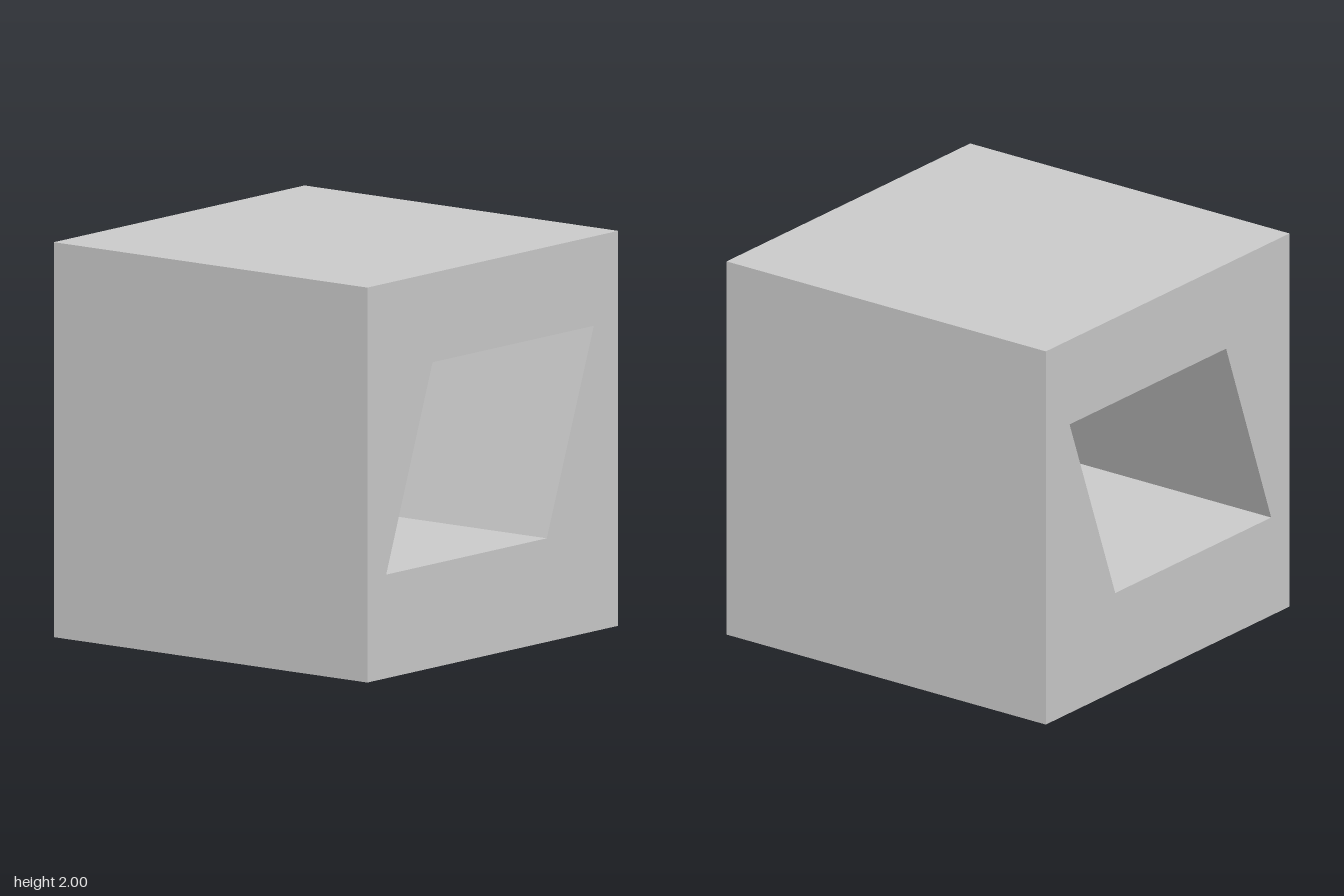
import * as THREE from 'three';

// Closed outline from a few corner points
const corners = (points) => points.map(([x, y]) => new THREE.Vector2(x, y));

export function createModel() {
  const group = new THREE.Group();
  group.name = 'piercedCube';

  // Square face with a slanted parallelogram window
  const face = new THREE.Shape(corners([[-1, 0], [1, 0], [1, 2], [-1, 2]]));
  face.holes.push(new THREE.Path(corners([
    [-0.85, 0.525], [-0.48, 1.547], [0.805, 1.547], [0.43, 0.525],
  ])));

  // Cube body, with the window running straight through from front to back
  const geometry = new THREE.ExtrudeGeometry(face, { depth: 2, bevelEnabled: false });
  geometry.translate(0, 0, -1);

  const body = new THREE.Mesh(
    geometry,
    new THREE.MeshStandardMaterial({ color: 0xcccccc, flatShading: true }),
  );
  body.name = 'cubeWithSlantedWindow';
  group.add(body);

  return group;
}
